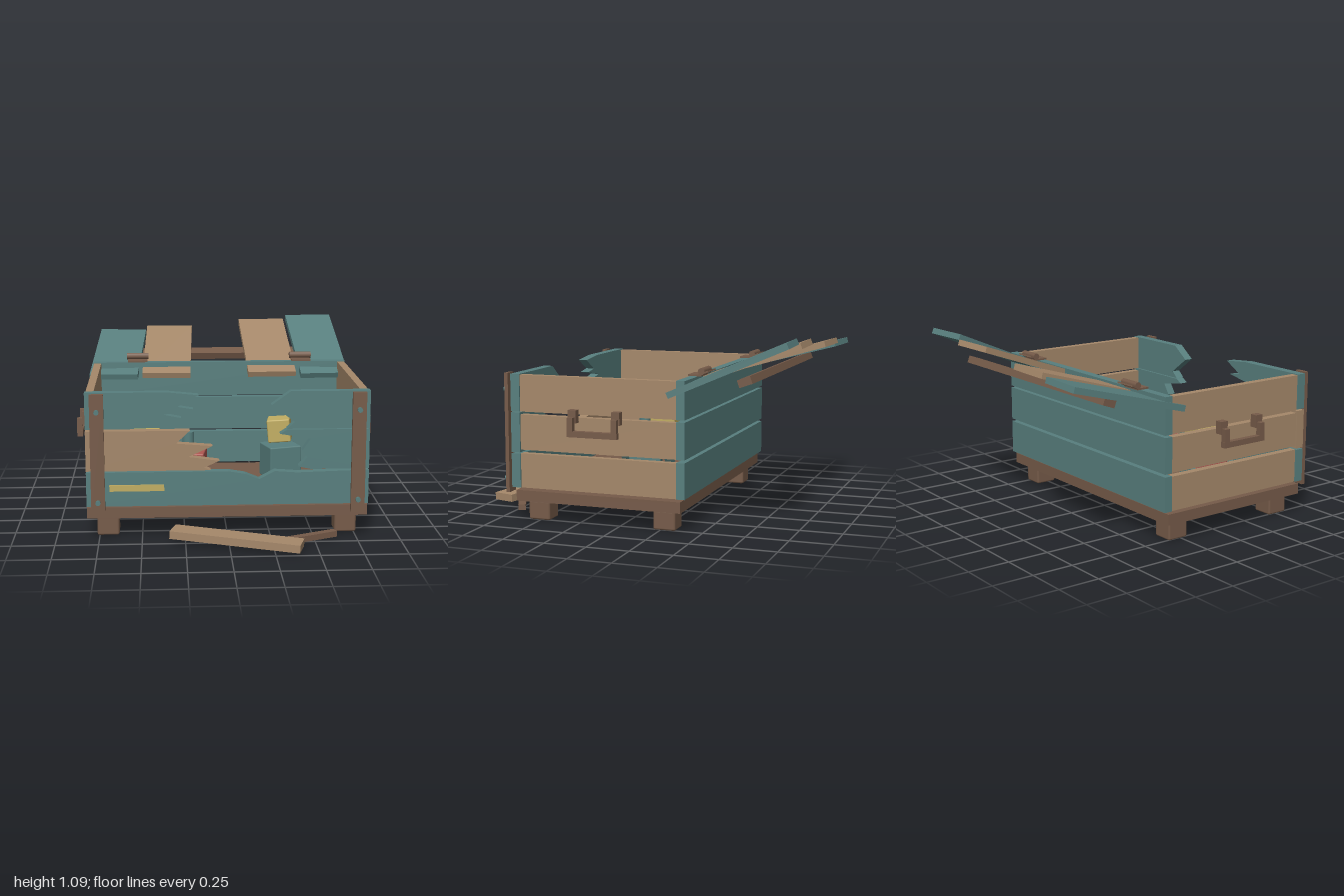
import * as THREE from 'three';
import { RoundedBoxGeometry } from 'three/addons/geometries/RoundedBoxGeometry.js';

const mat = (name, color) => {
  const m = new THREE.MeshStandardMaterial({ color });
  m.name = name;
  return m;
};

export function createModel() {
  const root = new THREE.Group();
  root.name = 'brokenToyCrate';
  const tan = mat('bareWood', 0xa5886a);
  const teal = mat('tealPaint', 0x587f7e);
  const brown = mat('darkWood', 0x765b49);
  const red = mat('redPaint', 0xb05852);
  const gold = mat('goldPaint', 0xc2ae62);

  const add = (name, geo, m, x, y, z, rx = 0, ry = 0, rz = 0) => {
    const mesh = new THREE.Mesh(geo, m);
    mesh.name = name;
    mesh.position.set(x, y, z);
    mesh.rotation.set(rx, ry, rz, 'YXZ');
    root.add(mesh);
    return mesh;
  };
  // Box given by its low and high limits on each axis
  const span = (name, m, x0, x1, y0, y1, z0, z1) =>
    add(name, new THREE.BoxGeometry(x1 - x0, y1 - y0, z1 - z0), m, (x0 + x1) / 2, (y0 + y1) / 2, (z0 + z1) / 2);
  const box = (w, h, d) => new THREE.BoxGeometry(w, h, d);
  const rad = THREE.MathUtils.degToRad;

  // Base and feet
  span('base', brown, -0.82, 0.82, 0.12, 0.185, -0.39, 0.625);
  for (const x of [-0.7, 0.7]) for (const z of [-0.273, 0.507])
    add('foot', new RoundedBoxGeometry(0.13, 0.115, 0.135, 1, 0.012), brown, x, 0.0585, z);

  // Back and side boards in three courses
  for (const [y0, y1] of [[0.2, 0.408], [0.425, 0.637], [0.65, 0.87]]) {
    span('backBoard', teal, -0.82, 0.82, y0, y1, -0.415, -0.365);
    for (const s of [-1, 1])
      add('sideBoard', box(0.046, y1 - y0 - 0.005, 0.97), tan, s * 0.792, (y0 + y1) / 2 - 0.002, 0.11);
  }

  // Front boards with splintered ends
  const splintered = (name, m, pts) => {
    const shape = new THREE.Shape(pts.map(p => new THREE.Vector2(...p)));
    add(name, new THREE.ExtrudeGeometry(shape, { depth: 0.056, bevelEnabled: false }), m, 0, 0, 0.597);
  };
  splintered('frontBoardBottom', teal, [[-0.82, 0.2], [0.82, 0.2], [0.82, 0.402], [0.4, 0.39], [0.27, 0.4],
    [0.18, 0.352], [0.1, 0.385], [0, 0.402], [-0.82, 0.402]]);
  splintered('frontBoardMiddleRight', tan, [[-0.82, 0.41], [-0.1, 0.41], [-0.14, 0.425], [-0.05, 0.465],
    [-0.23, 0.49], [-0.09, 0.553], [-0.3, 0.57], [-0.22, 0.645], [-0.82, 0.645]]);
  splintered('frontBoardTopRight', teal, [[-0.82, 0.655], [-0.36, 0.665], [-0.27, 0.72], [-0.37, 0.74],
    [-0.2, 0.77], [-0.29, 0.785], [-0.17, 0.852], [-0.35, 0.87], [-0.82, 0.87]]);
  splintered('frontBoardMiddleLeft', teal, [[0.82, 0.41], [0.82, 0.645], [0.34, 0.645], [0.3, 0.62],
    [0.477, 0.59], [0.43, 0.52], [0.46, 0.48], [0.41, 0.425], [0.48, 0.41]]);
  splintered('frontBoardTopLeft', teal, [[0.82, 0.65], [0.82, 0.87], [0.36, 0.87], [0.25, 0.79],
    [0.385, 0.69], [0.34, 0.65]]);

  // Corner posts with bolts
  for (const s of [-1, 1]) {
    span('cornerPost', brown, s * 0.75 - 0.04, s * 0.75 + 0.04, 0.16, 0.87, 0.685, 0.708);
    for (const y of [0.24, 0.77])
      add('bolt', new THREE.CylinderGeometry(0.015, 0.015, 0.022, 8), teal, s * 0.75, y, 0.717, Math.PI / 2);
  }
  span('goldPlate', gold, -0.685, -0.37, 0.3, 0.337, 0.684, 0.693);

  // Side handles
  for (const s of [-1, 1]) {
    for (const z of [0.25, -0.017]) {
      add('handleMount', box(0.045, 0.075, 0.05), brown, s * 0.837, 0.643, z);
      add('handleArm', box(0.034, 0.11, 0.034), brown, s * 0.873, 0.585, z);
    }
    add('handleGrip', box(0.034, 0.034, 0.305), brown, s * 0.873, 0.547, 0.116);
  }

  // Lid planks: x, y, z, pitch, yaw, material
  for (const [x, y, z, pitch, yaw, m] of [
    [-0.662, 0.887, -0.635, 15, -4, teal],
    [-0.334, 0.902, -0.637, 16.5, -2.3, tan],
    [0.326, 0.925, -0.635, 20, 1.8, tan],
    [0.66, 0.932, -0.642, 23.5, 3.4, teal]])
    add('lidPlank', box(0.31, 0.036, 0.735), m, x, y, z, rad(pitch), rad(yaw));
  add('lidBatten', box(1.48, 0.045, 0.08), brown, 0, 0.868, -0.735, rad(20));

  // Hinges
  for (const s of [-1, 1]) {
    const x = s * 0.533;
    add('hingePin', new THREE.CylinderGeometry(0.021, 0.021, 0.14, 8), brown, x, 0.9, -0.44, 0, 0, Math.PI / 2);
    add('hingeWallLeaf', box(0.125, 0.01, 0.08), brown, x, 0.877, -0.4);
    add('hingeLidLeaf', box(0.14, 0.01, 0.05), brown, x, 0.894, -0.458, rad(20));
  }

  // Toy truck
  add('truckBody', new RoundedBoxGeometry(0.44, 0.16, 0.22, 1, 0.008), red, -0.333, 0.345, 0.19, 0, rad(-8));
  add('truckCab', new RoundedBoxGeometry(0.16, 0.135, 0.2, 1, 0.008), gold, -0.472, 0.49, 0.165);
  add('truckChimney', new THREE.CylinderGeometry(0.036, 0.036, 0.12, 12), teal, -0.22, 0.48, 0.21);
  for (const x of [-0.483, -0.217]) for (const z of [0.032, 0.332])
    add('truckWheel', new THREE.CylinderGeometry(0.07, 0.07, 0.036, 12), teal, x, 0.26, z, Math.PI / 2);

  // Stacked toy blocks
  add('tealBlock', new RoundedBoxGeometry(0.21, 0.21, 0.19, 1, 0.008), teal, 0.368, 0.295, -0.017, 0, rad(17));
  add('goldBlock', new RoundedBoxGeometry(0.145, 0.145, 0.145, 1, 0.008), gold, 0.366, 0.485, -0.07, 0, rad(-9), rad(5));

  // Fallen pieces on the ground
  add('fallenPlank', box(0.76, 0.046, 0.137), tan, 0.04, 0.048, 0.82, 0, rad(-16), rad(-2.3));
  add('fallenStick', box(0.36, 0.035, 0.045), brown, 0.46, 0.033, 0.766, 0, rad(25));

  return root;
}
